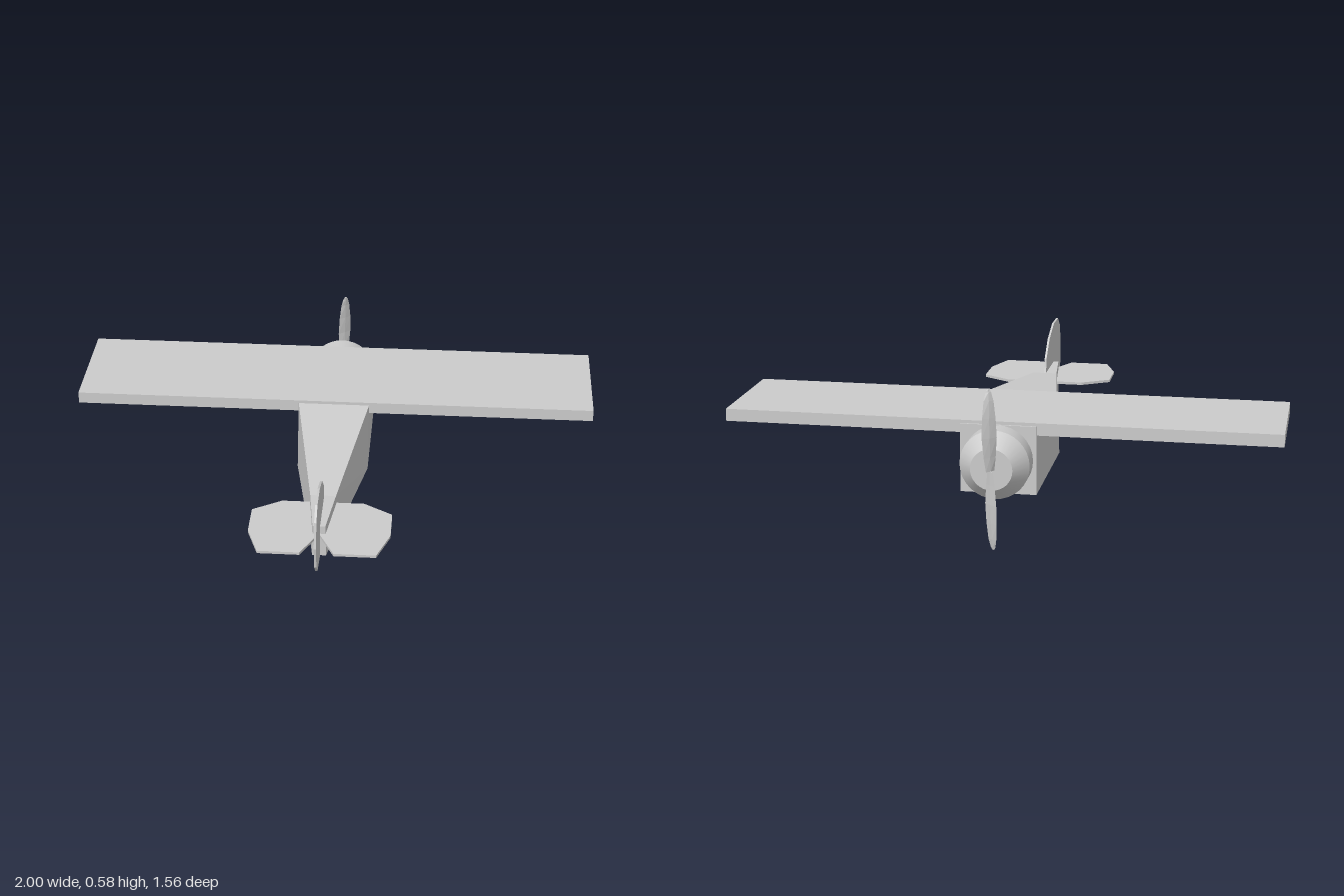
import * as THREE from 'three';
import { toCreasedNormals } from 'three/addons/utils/BufferGeometryUtils.js';

const AXIS_Y = 0.295; // height of the engine axis

// Joins equal-length rings of points (counterclockwise about the loft direction), capped at both ends
function loft(rings) {
  const n = rings[0].length, index = [];
  for (let i = 0; i < rings.length - 1; i++) {
    for (let j = 0; j < n; j++) {
      const a = i * n + j, b = i * n + (j + 1) % n;
      index.push(a, b, b + n, a, b + n, a + n);
    }
  }
  const last = (rings.length - 1) * n;
  for (let j = 1; j < n - 1; j++) index.push(0, j + 1, j, last, last + j, last + j + 1);
  const geo = new THREE.BufferGeometry();
  geo.setAttribute('position', new THREE.Float32BufferAttribute(rings.flat(2), 3));
  geo.setIndex(index);
  return geo;
}

// Flat panel of even thickness, centred on its own plane
function panel(points, thickness) {
  const shape = new THREE.Shape(points.map(([x, y]) => new THREE.Vector2(x, y)));
  return new THREE.ExtrudeGeometry(shape, { depth: thickness, bevelEnabled: false })
    .translate(0, 0, -thickness / 2);
}

export function createModel() {
  const model = new THREE.Group();
  model.name = 'airplane';
  const smooth = new THREE.MeshStandardMaterial({ color: 0xcccccc });
  const flat = new THREE.MeshStandardMaterial({ color: 0xcccccc, flatShading: true });
  const add = (name, geometry, material = flat, parent = model) => {
    const mesh = new THREE.Mesh(geometry, material);
    mesh.name = name;
    parent.add(mesh);
    return mesh;
  };

  // Fuselage: box section tapering to the tail
  // top z, top y, top half width, bottom z, bottom y, bottom half width
  const sections = [
    [-0.61, 0.42, 0.137, -0.61, 0.17, 0.137],
    [-0.16, 0.42, 0.137, -0.09, 0.175, 0.137],
    [0.40, 0.36, 0.047, 0.42, 0.21, 0.05],
    [0.60, 0.36, 0.023, 0.60, 0.235, 0.025],
  ];
  add('fuselage', loft(sections.map(([tz, ty, tw, bz, by, bw]) =>
    [[tw, ty, tz], [-tw, ty, tz], [-bw, by, bz], [bw, by, bz]])));

  // Wing
  add('wing', new THREE.BoxGeometry(2, 0.045, 0.445)).position.set(0, 0.409, -0.38);

  // Engine cowl: drum with a tapered front
  const profile = [[0, 0.6], [0.125, 0.6], [0.125, 0.68], [0.075, 0.742], [0, 0.742]]
    .map(([r, h]) => new THREE.Vector2(r, h));
  const cowl = new THREE.LatheGeometry(profile, 32).rotateX(-Math.PI / 2);
  add('engineCowl', toCreasedNormals(cowl, 0.5), smooth).position.y = AXIS_Y;

  // Propeller: two pitched blades
  const propeller = new THREE.Group();
  propeller.name = 'propeller';
  propeller.position.y = AXIS_Y;
  model.add(propeller);
  // height, rear edge x, front edge x, front edge z
  const stations = [
    [0, -0.012, 0.012, -0.773],
    [0.05, -0.017, 0.019, -0.777],
    [0.12, -0.021, 0.025, -0.78],
    [0.19, -0.017, 0.025, -0.774],
    [0.25, -0.010, 0.021, -0.762],
    [0.28, -0.002, 0.016, -0.751],
    [0.29, 0.004, 0.011, -0.747],
  ];
  const blade = loft(stations.map(([h, ax, bx, bz]) => {
    const az = -0.744, dx = bx - ax, dz = bz - az;
    const k = 0.003 / Math.hypot(dx, dz), mx = (ax + bx) / 2, mz = (az + bz) / 2;
    return [[ax, h, az], [mx - dz * k, h, mz + dx * k], [bx, h, bz], [mx + dz * k, h, mz - dx * k]];
  }));
  add('upperBlade', blade, flat, propeller);
  add('lowerBlade', blade, flat, propeller).rotation.z = Math.PI;

  // Tail fin and rudder, outline in z and y
  const fin = panel([
    [0.60, 0.235], [0.72, 0.25], [0.77, 0.30], [0.782, 0.385], [0.76, 0.48], [0.705, 0.52],
    [0.60, 0.52], [0.49, 0.48], [0.415, 0.415], [0.408, 0.38], [0.40, 0.355], [0.58, 0.30],
  ], 0.008);
  add('tailFin', fin.rotateY(-Math.PI / 2));

  // Tailplane, mirrored outline in x and z
  const half = [[0.15, 0.395], [0.255, 0.46], [0.255, 0.595], [0.21, 0.722], [0.06, 0.722]];
  const mirrored = half.map(([x, z]) => [-x, z]).reverse();
  const tailplane = panel([...half, [0, 0.6], ...mirrored], 0.01);
  add('tailplane', tailplane.rotateX(Math.PI / 2)).position.y = 0.323;

  return model;
}
